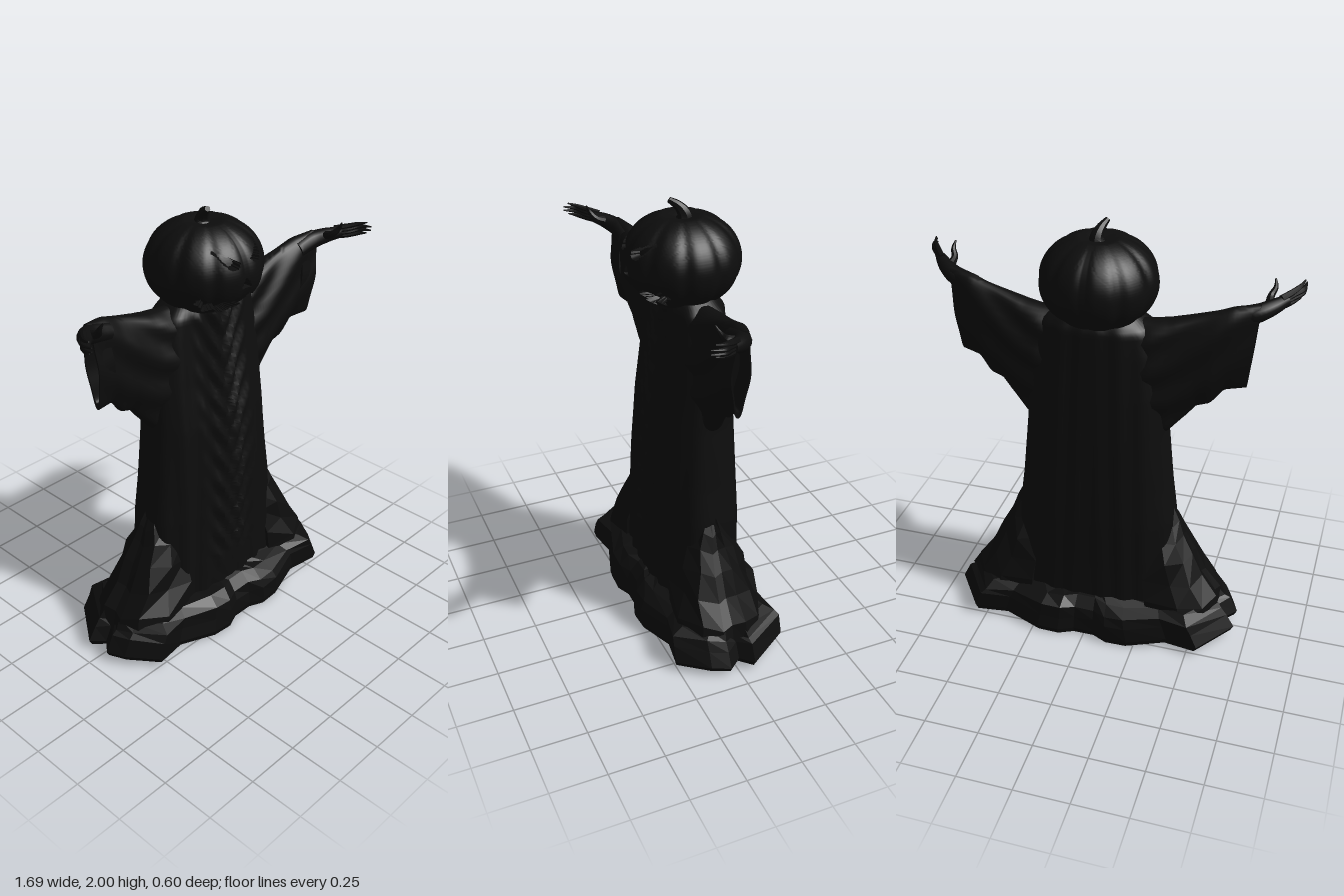
import * as THREE from 'three';
import { toCreasedNormals } from 'three/addons/utils/BufferGeometryUtils.js';

const V = (x, y, z) => new THREE.Vector3(x, y, z);
const dark = new THREE.MeshStandardMaterial({ color: 0x0d0d0d, side: THREE.DoubleSide });
const stone = new THREE.MeshStandardMaterial({ color: 0x0d0d0d, side: THREE.DoubleSide, flatShading: true });

// Piecewise linear lookup in [[key, value...], ...], keys ascending
function look(table, k, col = 1) {
  if (k <= table[0][0]) return table[0][col];
  for (let i = 1; i < table.length; i++) {
    const a = table[i - 1], b = table[i];
    if (k <= b[0]) return a[col] + (b[col] - a[col]) * (k - a[0]) / (b[0] - a[0]);
  }
  return table[table.length - 1][col];
}

// Skin closed rings (counter-clockwise about the loft direction), capped at both ends
function loft(rings, crease = 0.7) {
  const n = rings[0].length, pos = [], idx = [];
  rings.forEach(r => r.forEach(p => pos.push(p.x, p.y, p.z)));
  for (let i = 0; i < rings.length - 1; i++) {
    for (let j = 0; j < n; j++) {
      const a = i * n + j, b = i * n + (j + 1) % n;
      idx.push(a, b, a + n, b, b + n, a + n);
    }
  }
  [0, rings.length - 1].forEach((r, end) => {
    const c = V(0, 0, 0);
    rings[r].forEach(p => c.addScaledVector(p, 1 / n));
    const ci = pos.length / 3;
    pos.push(c.x, c.y, c.z);
    for (let j = 0; j < n; j++) {
      const a = r * n + j, b = r * n + (j + 1) % n;
      if (end) idx.push(a, b, ci); else idx.push(b, a, ci);
    }
  });
  const g = new THREE.BufferGeometry();
  g.setAttribute('position', new THREE.Float32BufferAttribute(pos, 3));
  g.setIndex(idx);
  return toCreasedNormals(g, crease);
}

function ring(n, f) {
  return Array.from({ length: n }, (_, j) => f(j / n * Math.PI * 2));
}

function add(parent, name, geometry, material = dark) {
  const m = new THREE.Mesh(geometry, material);
  m.name = name;
  parent.add(m);
  return m;
}

// Tapered tube through points, with one radius per point
function limb(points, radii, sides = 10, steps = 14) {
  const curve = new THREE.CatmullRomCurve3(points.map(p => V(...p)));
  const frames = curve.computeFrenetFrames(steps);
  const table = radii.map((r, i) => [i / (radii.length - 1), r]);
  const rings = [];
  for (let i = 0; i <= steps; i++) {
    const t = i / steps, c = curve.getPointAt(t), r = look(table, t);
    rings.push(ring(sides, a => c.clone()
      .addScaledVector(frames.normals[i], Math.cos(a) * r)
      .addScaledVector(frames.binormals[i], Math.sin(a) * r)));
  }
  return loft(rings);
}

const spow = (v, e) => Math.sign(v) * Math.abs(v) ** e;

// Robe: height, half width, front depth, back depth
const ROBE = [[0.08, 0.40, 0.20, 0.205], [0.35, 0.385, 0.195, 0.2], [0.6, 0.37, 0.19, 0.2], [0.77, 0.348, 0.185, 0.195],
  [1.05, 0.322, 0.165, 0.185], [1.25, 0.31, 0.135, 0.175], [1.45, 0.28, 0.115, 0.162], [1.56, 0.25, 0.11, 0.155], [1.62, 0.17, 0.09, 0.11]];
function robe() {
  const rings = [];
  for (let i = 0; i <= 90; i++) {
    const y = 0.08 + 1.54 * i / 90;
    const w = look(ROBE, y), f = look(ROBE, y, 2), b = look(ROBE, y, 3);
    rings.push(ring(112, a => {
      const x = spow(Math.sin(a), 0.8) * w, c = Math.cos(a), ax = Math.abs(x);
      let z = spow(c, 0.72) * (c > 0 ? f : b);
      const middle = Math.max(0, 1 - ax / 0.17);
      // Vertical pleats, and V-shaped drapes down the front
      z *= 1 - 0.045 * (1 + Math.sin(ax * 62 + y * 2)) * (c > 0 ? 1 - middle * 0.6 : 0.5);
      if (c > 0) z += 0.011 * Math.sin(44 * y - 75 * ax) * Math.min(1, middle * 2) * (y > 0.35 ? 1 : 0.3);
      return V(x, y, z);
    }));
  }
  return loft(rings, 0.9);
}

// Sleeve: x, top, hem, centre z, half thickness
const SLEEVE = [[0.12, 1.59, 1.05, -0.02, 0.11], [0.25, 1.6, 1.04, -0.02, 0.115], [0.32, 1.61, 1.06, -0.015, 0.105],
  [0.38, 1.625, 1.13, -0.01, 0.095], [0.45, 1.645, 1.205, -0.005, 0.085], [0.52, 1.665, 1.225, 0, 0.075],
  [0.58, 1.685, 1.295, 0.01, 0.065], [0.685, 1.70, 1.305, 0.035, 0.045]];
function sleeve() {
  const section = (x, k) => {
    const [top, hem, zc, t] = [1, 2, 3, 4].map(c => look(SLEEVE, x, c));
    const h = (top - hem) / 2 * k;
    return ring(48, a => {
      const y = (top + hem) / 2 + Math.cos(a) * h;
      const fold = 1 + 0.14 * Math.sin((top - y) * 30 / (0.5 + x) + x * 22);
      const lean = x > 0.4 ? (top - y) * 0.09 * (x - 0.4) / 0.28 : 0;
      return V(x - lean, y, zc + spow(Math.sin(a), 0.85) * t * k * fold * (0.85 + 0.15 * Math.cos(a)));
    });
  };
  const rings = [];
  for (let i = 0; i <= 36; i++) rings.push(section(0.12 + 0.565 * i / 36, 1));
  // Hollow cuff
  const cuff = rings[36], mid = V(0.66, 1.5, 0.035);
  [[0.86, 0], [0.82, -0.09]].forEach(([k, dx]) => rings.push(cuff.map(p =>
    V(p.x + dx, mid.y + (p.y - mid.y) * k, mid.z + (p.z - mid.z) * k))));
  return loft(rings, 0.8);
}

function arm() {
  const g = new THREE.Group();
  add(g, 'sleeve', sleeve());
  add(g, 'wristAndPalm', limb([[0.58, 1.63, 0.03], [0.67, 1.655, 0.04], [0.73, 1.675, 0.08], [0.775, 1.69, 0.13]],
    [0.04, 0.042, 0.035, 0.024], 14));
  // Four fingers fanned over the palm edge
  for (let i = 0; i < 4; i++) {
    const k = i / 3, d = 0.012 * Math.sin(k * Math.PI);
    add(g, 'finger', limb([[0.755, 1.67 + 0.035 * k, 0.10], [0.795, 1.677 + 0.042 * k, 0.15],
      [0.822 + d, 1.687 + 0.046 * k, 0.19], [0.834 + d * 0.5, 1.695 + 0.05 * k, 0.225 + d * 2]], [0.015, 0.014, 0.011, 0.003], 8));
  }
  add(g, 'thumb', limb([[0.71, 1.68, 0.085], [0.708, 1.70, 0.13], [0.722, 1.73, 0.155], [0.716, 1.762, 0.172]], [0.02, 0.016, 0.012, 0.003], 8));
  return g;
}

// Depth of the carved face at (x, y)
function carve(x, y) {
  const ax = Math.abs(x);
  const saw = Math.abs(((ax * 14 + 0.5) % 1) * 2 - 1);
  const low = 1.565 + ax * ax * 1.6 + 0.03 * saw;
  const high = 1.655 + ax * 0.12 - 0.025 * (1 - saw);
  if (ax < 0.19 && y > low && y < high) return 0.06;
  const brow = 1.79 + ax * 0.62;
  if (ax > 0.035 && ax < 0.125 && y < brow && y > brow - 0.045 * Math.sin((ax - 0.035) / 0.09 * Math.PI)) return 0.04;
  if (y > 1.70 && y < 1.74 && ax < (1.74 - y) * 0.6) return 0.03;
  return 0;
}

function pumpkin() {
  const rings = [];
  for (let i = 1; i < 110; i++) {
    const p = -Math.PI / 2 + Math.PI * i / 110;
    rings.push(ring(160, a => {
      const rib = 1 - 0.045 * Math.abs(Math.cos(a * 5)) ** 6;
      let r = 0.257 * Math.cos(p) ** 0.88 * rib;
      // Dimple around the stem
      const y = 1.74 + 0.2 * Math.sin(p) - (p > 0 ? 0.03 * Math.max(0, 1 - r / 0.09) : 0);
      const x = Math.sin(a) * r;
      if (Math.cos(a) > 0) r -= Math.min(carve(x, y), r * 0.5);
      return V(Math.sin(a) * r, y, Math.cos(a) * r);
    }));
  }
  return loft(rings, 0.6);
}

// Rocky base: half outline from front centre round to back centre
const EDGE = [[0.05, 0.265], [0.12, 0.295], [0.22, 0.29], [0.4, 0.235], [0.55, 0.26], [0.65, 0.13], [0.685, 0.05], [0.635, -0.01],
  [0.69, -0.065], [0.55, -0.265], [0.4, -0.24], [0.22, -0.298], [0.12, -0.298], [0.05, -0.265]];
function base() {
  const outline = [...EDGE, ...EDGE.map(([x, z]) => [-x, z]).reverse()];
  const levels = [[0, 0.98, 0.98], [0.025, 1, 1], [0.095, 0.945, 0.99], [0.15, 0.905, 0.96], [0.185, 0.86, 0.78], [0.2, 0.6, 0.55]];
  return loft(levels.map(([y, sx, sz], l) => outline.map(([x, z], j) => {
    const bump = l > 1 ? 0.014 * Math.sin(j * 5.3 + l * 2) : 0;
    const lift = 0.025 * Math.min(1, Math.max(0, Math.abs(x) - 0.2) / 0.25) * (l < 3 ? 1 : 0);
    return V(x * sx, y + lift + bump * 0.7, z * (sz + bump * 1.5));
  })));
}

// Boulders heaped against the side of the robe: height, outer x, half depth
function flank() {
  const levels = [[0.1, 0.62, 0.205], [0.2, 0.595, 0.19], [0.3, 0.52, 0.165], [0.41, 0.47, 0.14], [0.5, 0.42, 0.11], [0.57, 0.395, 0.07], [0.64, 0.36, 0.03]];
  return loft(levels.map(([y, x, d], l) => [[0.2, 1], [0.6, 1.02], [0.9, 0.72], [1, 0.25], [0.96, 0], [1, -0.3], [0.88, -0.75], [0.6, -1.02], [0.2, -1]]
    .map(([k, s], j) => V(0.2 + (x - 0.2) * k, y + (j % 3 - 1) * 0.012, s * d * (1 + 0.08 * Math.sin(j * 3 + l * 4))))));
}

export function createModel() {
  const model = new THREE.Group();
  model.name = 'robedPumpkinFigure';
  add(model, 'robe', robe());
  add(model, 'pumpkinHead', pumpkin());
  add(model, 'stem', limb([[0, 1.88, -0.01], [0.005, 1.93, -0.012], [-0.005, 1.965, 0.008], [-0.024, 1.992, 0.045]], [0.05, 0.032, 0.021, 0.012], 8));
  add(model, 'rockBase', base(), stone);
  for (const side of [1, -1]) {
    const half = new THREE.Group();
    half.name = side > 0 ? 'leftSide' : 'rightSide';
    const a = arm();
    a.name = 'arm';
    half.add(a);
    add(half, 'sideRocks', flank(), stone);
    half.scale.x = side;
    model.add(half);
  }
  return model;
}
